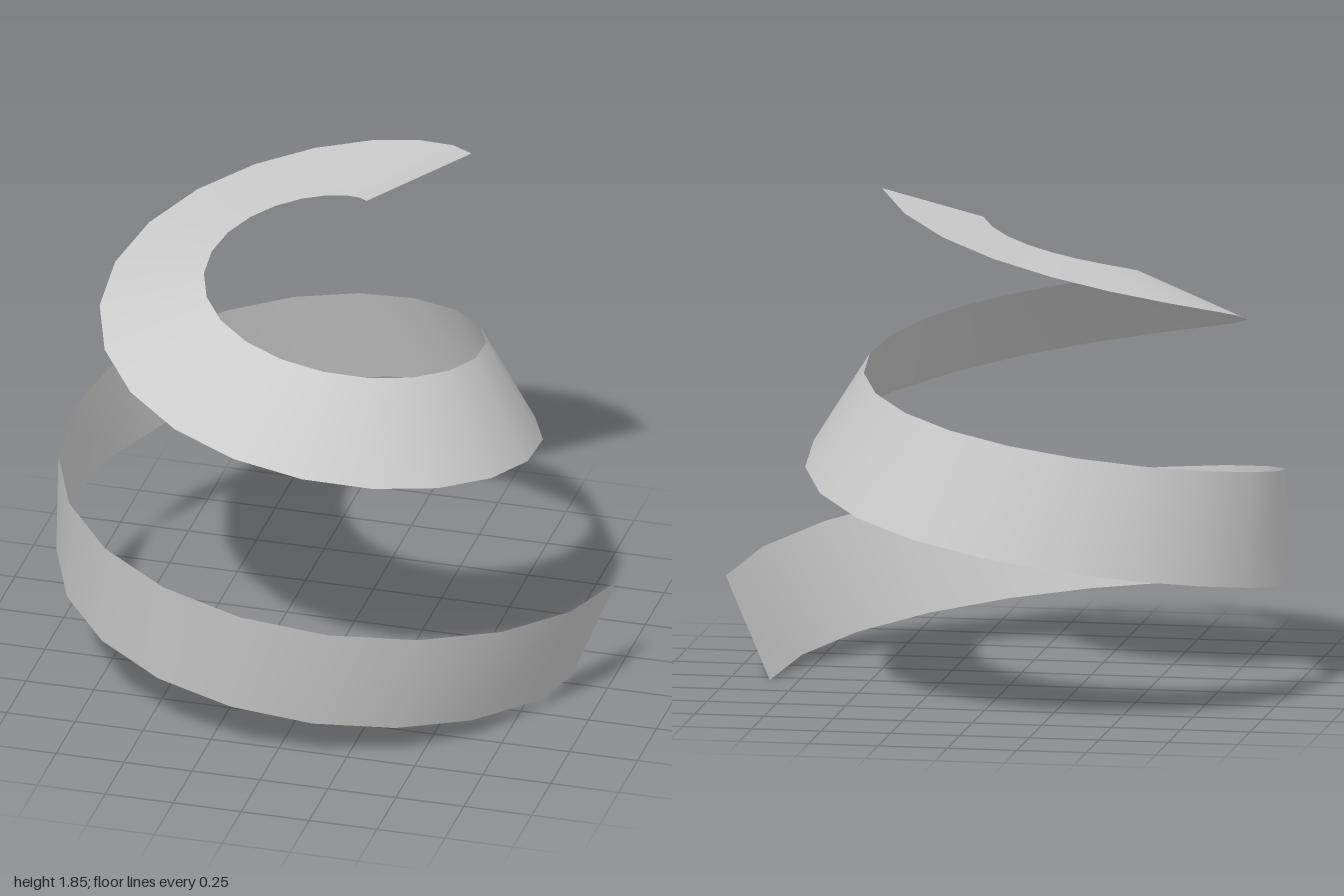
import * as THREE from 'three';

const STEPS = 38;          // rungs along the ribbon
const SUB = 10;            // fine steps between rungs, to carry the twist
const STEP_ANGLE = THREE.MathUtils.degToRad(18.06);
const TURNS = (STEPS * STEP_ANGLE) / (2 * Math.PI);
const WIDTH = 0.41;

// Centre line: a rising spiral that tightens evenly
function centreLine(turn) {
  const a = turn * 2 * Math.PI;
  const r = 1.045 - 0.334 * turn;
  return new THREE.Vector3(-0.12 + r * Math.cos(a), 0.19 + 0.838 * turn, -0.075 + r * Math.sin(a));
}

function tangent(turn) {
  return centreLine(turn + 1e-4).sub(centreLine(turn - 1e-4)).normalize();
}

export function createModel() {
  const group = new THREE.Group();
  group.name = 'spiralRibbon';

  // The cross direction is carried along the spiral without extra twist
  const across = new THREE.Vector3(0.15, 0.38, -0.02).normalize();
  const positions = [];
  const index = [];
  for (let i = 0; i <= STEPS * SUB; i++) {
    const turn = (TURNS * i) / (STEPS * SUB);
    const t = tangent(turn);
    across.addScaledVector(t, -across.dot(t)).normalize();
    if (i % SUB) continue;
    const mid = centreLine(turn);
    for (const side of [-0.5, 0.5]) {
      positions.push(...mid.clone().addScaledVector(across, side * WIDTH).toArray());
    }
  }
  for (let k = 0; k < STEPS; k++) {
    const a = 2 * k;
    index.push(a, a + 1, a + 2, a + 1, a + 3, a + 2);
  }

  const geometry = new THREE.BufferGeometry();
  geometry.setAttribute('position', new THREE.Float32BufferAttribute(positions, 3));
  geometry.setIndex(index);

  // Stand on the ground, centred
  geometry.computeBoundingBox();
  const box = geometry.boundingBox;
  const c = box.getCenter(new THREE.Vector3());
  geometry.translate(-c.x, -box.min.y, -c.z);
  geometry.computeVertexNormals();

  const ribbon = new THREE.Mesh(
    geometry,
    new THREE.MeshStandardMaterial({ color: 0xcccccc, side: THREE.DoubleSide })
  );
  ribbon.name = 'ribbon';
  group.add(ribbon);
  return group;
}
